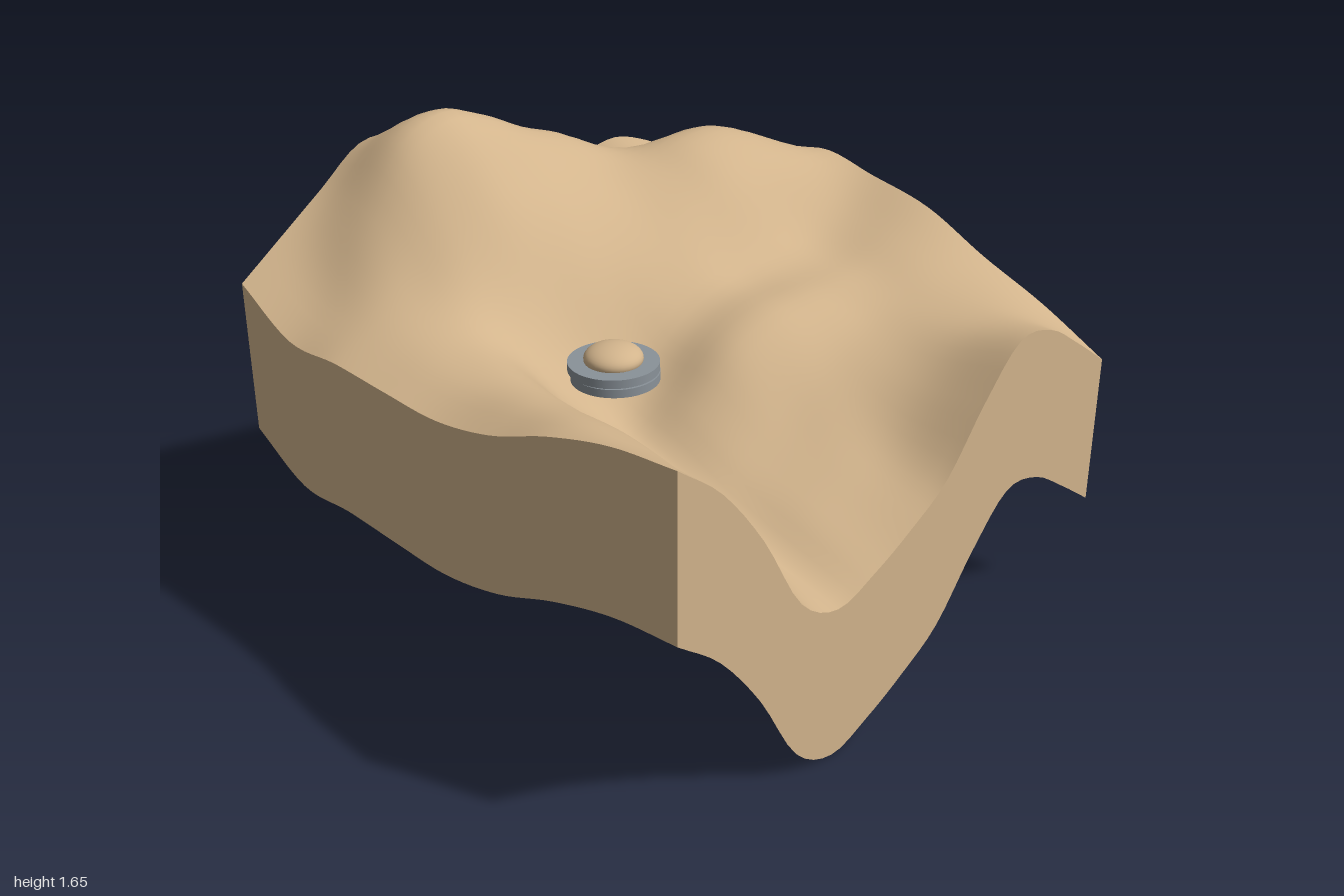
import * as THREE from 'three';

// Terrain heights: rows from back (z = -1) to front (z = 1), columns from x = -1 to x = 1
const HEIGHTS = [
  [1.17, 1.29, 1.41, 1.53, 1.53, 1.47, 1.41, 1.33, 1.27, 1.26, 1.28, 1.23, 1.145],
  [1.045, 1.18, 1.39, 1.59, 1.655, 1.61, 1.53, 1.47, 1.38, 1.31, 1.27, 1.18, 1.075],
  [1.05, 1.13, 1.22, 1.34, 1.42, 1.42, 1.40, 1.385, 1.40, 1.44, 1.44, 1.37, 1.24],
  [1.04, 1.10, 1.12, 1.11, 1.13, 1.18, 1.22, 1.26, 1.31, 1.36, 1.37, 1.36, 1.335],
  [1.035, 1.09, 1.07, 0.92, 0.84, 0.90, 1.02, 1.09, 1.11, 1.13, 1.15, 1.21, 1.29],
  [1.08, 1.12, 1.04, 0.84, 0.74, 0.86, 1.00, 1.07, 1.09, 1.09, 1.10, 1.16, 1.235],
  [1.17, 1.15, 1.03, 0.79, 0.66, 0.73, 0.82, 0.92, 1.00, 1.05, 1.08, 1.10, 1.12],
  [1.235, 1.14, 0.98, 0.73, 0.59, 0.66, 0.73, 0.81, 0.95, 1.06, 1.08, 1.06, 1.02],
  [1.26, 1.125, 0.91, 0.63, 0.535, 0.585, 0.665, 0.77, 0.97, 1.125, 1.11, 1.01, 0.895],
];
const SEGMENTS = 48;
const WALL_DEPTH = 0.53;

// Smooth curve through evenly spaced values, t from 0 to 1
function spline(values, t) {
  const last = values.length - 1;
  const s = THREE.MathUtils.clamp(t, 0, 1) * last;
  const i = Math.min(Math.floor(s), last - 1);
  const f = s - i;
  const b = values[i], c = values[i + 1];
  const a = i > 0 ? values[i - 1] : 2 * b - c;
  const d = i + 2 <= last ? values[i + 2] : 2 * c - b;
  return b + 0.5 * f * (c - a + f * (2 * a - 5 * b + 4 * c - d + f * (3 * (b - c) + d - a)));
}

function heightAt(x, z) {
  return spline(HEIGHTS.map((row) => spline(row, (x + 1) / 2)), (z + 1) / 2);
}

// Rolling ground surface
function groundGeometry() {
  const geometry = new THREE.PlaneGeometry(2, 2, SEGMENTS, SEGMENTS).rotateX(-Math.PI / 2);
  const p = geometry.attributes.position;
  for (let i = 0; i < p.count; i++) p.setY(i, heightAt(p.getX(i), p.getZ(i)));
  geometry.computeVertexNormals();
  return geometry;
}

// Skirt wall whose top and bottom both follow the ground's edge
function wallGeometry(angle) {
  const geometry = new THREE.PlaneGeometry(2, 1, SEGMENTS, 1).translate(0, 0, 1).rotateY(angle);
  const p = geometry.attributes.position;
  for (let i = 0; i < p.count; i++) {
    const drop = p.getY(i) < 0 ? WALL_DEPTH : 0;
    p.setY(i, heightAt(p.getX(i), p.getZ(i)) - drop);
  }
  return geometry;
}

export function createModel() {
  const model = new THREE.Group();
  model.name = 'terrainWithHoveringDiscs';

  const sand = new THREE.MeshStandardMaterial({ color: 0xd2b48c, side: THREE.DoubleSide });
  sand.name = 'sand';
  const metal = new THREE.MeshStandardMaterial({ color: 0x8a9299 });
  metal.name = 'greyMetal';

  const add = (parent, name, geometry, material) => {
    const mesh = new THREE.Mesh(geometry, material);
    mesh.name = name;
    parent.add(mesh);
    return mesh;
  };

  // Hollow terrain block, open underneath
  const terrain = new THREE.Group();
  terrain.name = 'terrain';
  model.add(terrain);
  add(terrain, 'ground', groundGeometry(), sand);
  ['frontWall', 'leftWall', 'backWall', 'rightWall'].forEach((name, i) => {
    add(terrain, name, wallGeometry((i * Math.PI) / 2), sand);
  });

  // Two hovering discs with flattened domes
  const discGeometry = new THREE.CylinderGeometry(0.132, 0.132, 0.026, 48);
  const domeGeometry = new THREE.SphereGeometry(0.086, 32, 20).scale(1, 0.5, 1);
  const spots = [[-0.67, 1.246, 0.415], [-0.585, 1.157, 0.33]];
  spots.forEach(([x, y, z], i) => {
    const craft = new THREE.Group();
    craft.name = i === 0 ? 'upperHoverCraft' : 'lowerHoverCraft';
    craft.position.set(x, y, z);
    add(craft, 'disc', discGeometry, metal);
    add(craft, 'dome', domeGeometry, sand).position.y = 0.021;
    model.add(craft);
  });

  return model;
}
